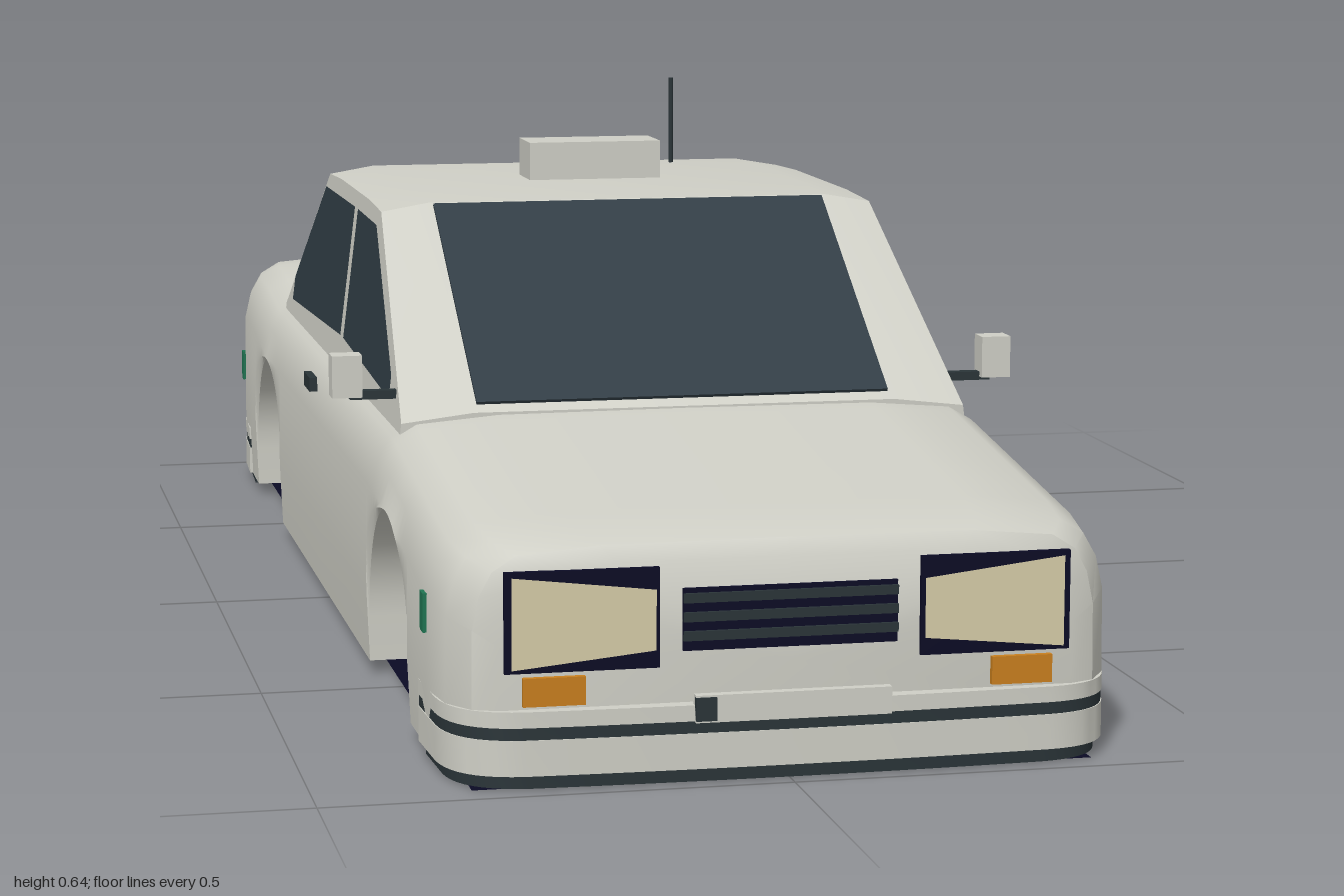
import * as THREE from 'three';
import { toCreasedNormals } from 'three/addons/utils/BufferGeometryUtils.js';

const mat = (name, color, side = THREE.FrontSide) => {
  const m = new THREE.MeshStandardMaterial({ color, side });
  m.name = name;
  return m;
};

// Skin a list of closed cross-sections (front to back) and cap both ends
function loft(sections, crease) {
  const n = sections[0].length, pos = [];
  const tri = (a, b, c) => pos.push(...a, ...b, ...c);
  for (let i = 0; i < sections.length - 1; i++) {
    for (let j = 0; j < n; j++) {
      const k = (j + 1) % n, A = sections[i], B = sections[i + 1];
      tri(A[j], B[j], B[k]);
      tri(A[j], B[k], A[k]);
    }
  }
  [sections[0], sections[sections.length - 1]].forEach((s, e) => {
    const ys = s.map((p) => p[1]);
    const c = [0, (Math.min(...ys) + Math.max(...ys)) / 2, s[0][2]];
    for (let j = 0; j < n; j++) {
      const k = (j + 1) % n;
      if (e === 0) tri(c, s[j], s[k]); else tri(c, s[k], s[j]);
    }
  });
  const g = new THREE.BufferGeometry();
  g.setAttribute('position', new THREE.Float32BufferAttribute(pos, 3));
  return toCreasedNormals(g, crease);
}

// Mirror a half section (x, y), listed from the +x bottom to the top
const mirrored = (half, z) => [
  ...half.map(([x, y]) => [x, y, z]),
  ...half.slice().reverse().map(([x, y]) => [-x, y, z]),
];

// Body outline: z, half width, top height
const OUTLINE = [
  [0.975, 0.308, 0.236], [0.964, 0.335, 0.253], [0.93, 0.357, 0.262], [0.86, 0.366, 0.27],
  [0.49, 0.368, 0.313], [0, 0.368, 0.313], [-0.59, 0.368, 0.313], [-0.77, 0.367, 0.328],
  [-0.88, 0.365, 0.328], [-0.94, 0.356, 0.326], [-0.972, 0.335, 0.32], [-0.985, 0.308, 0.306],
];
const SILL = 0.016;

function outlineAt(z) {
  let i = 0;
  while (i < OUTLINE.length - 2 && z < OUTLINE[i + 1][0]) i++;
  const [z0, w0, t0] = OUTLINE[i], [z1, w1, t1] = OUTLINE[i + 1];
  const f = (z - z0) / (z1 - z0);
  return [w0 + (w1 - w0) * f, t0 + (t1 - t0) * f];
}

function bodyGeometry() {
  const stations = OUTLINE.map(([z]) => [z, SILL]);
  const arches = [0.582, -0.577], r = 0.152;
  let list = stations.filter(([z]) => arches.every((c) => Math.abs(z - c) > r));
  for (const c of arches) {
    const arch = [[c + r, SILL]];
    for (let i = 0; i <= 20; i++) {
      const a = (Math.PI * i) / 20;
      arch.push([c + r * Math.cos(a), 0.07 + r * Math.sin(a)]);
    }
    arch.push([c - r, SILL]);
    const at = list.findIndex(([z]) => z < c);
    list = [...list.slice(0, at), ...arch, ...list.slice(at)];
  }
  return loft(list.map(([z, yb]) => {
    const [w, t] = outlineAt(z);
    const y = Math.max(t - 0.085, yb + 0.003);
    return mirrored([
      [w * 0.99, yb], [w, yb + (y - yb) * 0.4], [w * 0.997, y], [w * 0.975, t - 0.05],
      [w * 0.935, t - 0.025], [w * 0.86, t - 0.009], [w * 0.6, t - 0.001], [0, t],
    ], z);
  }), 0.6);
}

// Cabin side leans inwards with height
const cabinX = (y) => 0.335 - (y - 0.3) * 0.125;

function cabinGeometry() {
  const rows = [[0.49, 0.305], [0.165, 0.513], [0.06, 0.517], [-0.2, 0.517], [-0.31, 0.513], [-0.6, 0.301]];
  return loft(rows.map(([z, t]) => mirrored([
    [cabinX(0.28), 0.28], [cabinX(t), t], [0.25, t + 0.01], [0, t + 0.01],
  ], z)), 0.3);
}

export function createModel() {
  const root = new THREE.Group();
  root.name = 'saloonCar';
  const paint = mat('bodyPaint', 0xcfcfc6);
  const glass = mat('darkGlass', 0x303c44, THREE.DoubleSide);
  const trim = mat('slateTrim', 0x2a3438);
  const navy = mat('navyBlack', 0x0a0a24, THREE.DoubleSide);
  const cream = mat('headlampCream', 0xd6cda8, THREE.DoubleSide);
  const amber = mat('indicatorAmber', 0xc97f1e);
  const red = mat('tailRed', 0x8c0f24);
  const green = mat('markerGreen', 0x1f7552);

  const add = (name, geo, material, parent = root) => {
    const m = new THREE.Mesh(geo, material);
    m.name = name;
    parent.add(m);
    return m;
  };
  // Box given by its x, y and z ranges
  const box = (name, material, x0, x1, y0, y1, z0, z1) => {
    const m = add(name, new THREE.BoxGeometry(Math.abs(x1 - x0), y1 - y0, Math.abs(z1 - z0)), material);
    m.position.set((x0 + x1) / 2, (y0 + y1) / 2, (z0 + z1) / 2);
    return m;
  };

  add('body', bodyGeometry(), paint);
  add('cabin', cabinGeometry(), paint);
  add('floor', new THREE.PlaneGeometry(0.67, 1.93).rotateX(Math.PI / 2), navy);

  // Windscreen and rear window
  const pane = (name, z0, y0, z1, y1, w) => {
    const m = add(name, new THREE.BoxGeometry(w, Math.hypot(z1 - z0, y1 - y0), 0.008), glass);
    m.position.set(0, (y0 + y1) / 2, (z0 + z1) / 2);
    m.rotation.x = Math.atan2(z1 - z0, y1 - y0);
  };
  pane('windscreen', 0.478, 0.3225, 0.17, 0.5195, 0.49);
  pane('rearWindow', -0.585, 0.322, -0.318, 0.517, 0.494);

  // Side windows as (z, y) outlines laid on the leaning cabin side
  const windows = {
    frontSideWindow: [[0.405, 0.321], [0.405, 0.348], [0.165, 0.497], [0, 0.499], [0, 0.335]],
    rearSideWindow: [[-0.027, 0.335], [-0.027, 0.499], [-0.305, 0.497], [-0.51, 0.35], [-0.51, 0.318]],
  };
  for (const s of [1, -1]) {
    for (const [name, pts] of Object.entries(windows)) {
      const g = new THREE.ShapeGeometry(new THREE.Shape(pts.map((p) => new THREE.Vector2(...p))));
      const p = g.attributes.position;
      for (let i = 0; i < p.count; i++) p.setXYZ(i, s * (cabinX(p.getY(i)) + 0.004), p.getY(i), p.getX(i));
      g.computeVertexNormals();
      add(name, g, glass);
    }

    // Door handle, side markers and mirror
    box('doorHandle', trim, s * 0.362, s * 0.372, 0.259, 0.277, -0.108, -0.05);
    box('frontMarker', green, s * 0.361, s * 0.369, 0.145, 0.187, 0.842, 0.862);
    box('rearMarker', green, s * 0.357, s * 0.366, 0.145, 0.187, -0.918, -0.9);
    box('mirrorArm', trim, s * 0.31, s * 0.385, 0.325, 0.335, 0.418, 0.432);
    box('mirror', paint, s * 0.372, s * 0.407, 0.329, 0.378, 0.412, 0.442);

    // Headlamp with tapering lens, front indicator
    box('headlampBezel', navy, s * 0.14, s * 0.303, 0.124, 0.23, 0.973, 0.98);
    const lens = new THREE.Shape([[0.296, 0.225], [0.296, 0.128], [0.144, 0.143], [0.144, 0.207]]
      .map(([x, y]) => new THREE.Vector2(s * x, y)));
    add('headlampLens', new THREE.ShapeGeometry(lens), cream).position.z = 0.983;
    box('frontIndicator', amber, s * 0.218, s * 0.284, 0.089, 0.119, 0.973, 0.982);

    // Tail lamps
    box('tailLampBezel', navy, s * 0.178, s * 0.305, 0.172, 0.285, -0.983, -0.989);
    box('tailLamp', red, s * 0.184, s * 0.299, 0.178, 0.279, -0.986, -0.992);
    box('rearIndicator', amber, s * 0.215, s * 0.28, 0.118, 0.157, -0.983, -0.991);
  }

  // Grille with horizontal bars
  box('grille', navy, -0.115, 0.115, 0.14, 0.206, 0.973, 0.979);
  for (let i = 0; i < 3; i++) {
    box('grilleBar', trim, -0.115, 0.115, 0.151 + i * 0.02, 0.161 + i * 0.02, 0.976, 0.983);
  }

  // Bumpers: stacked bands of one rounded plan shape
  const bumperBand = (y0, y1, inset) => {
    const w = 0.367 - inset, f = 0.992 - inset;
    const s = new THREE.Shape();
    s.moveTo(-w, 0.815);
    s.lineTo(w, 0.815);
    s.lineTo(w - 0.004, 0.9);
    s.quadraticCurveTo(w - 0.01, f - 0.012, w - 0.085, f - 0.006);
    s.quadraticCurveTo(0, f + 0.006, -w + 0.085, f - 0.006);
    s.quadraticCurveTo(-w + 0.01, f - 0.012, -w + 0.004, 0.9);
    const g = new THREE.ExtrudeGeometry(s, { depth: y1 - y0, bevelEnabled: false, curveSegments: 10 });
    return toCreasedNormals(g.rotateX(Math.PI / 2).translate(0, y1, 0), 0.6);
  };
  for (const end of ['front', 'rear']) {
    const bumper = new THREE.Group();
    bumper.name = end + 'Bumper';
    if (end === 'rear') bumper.rotation.y = Math.PI;
    add('bumperLip', bumperBand(0.002, 0.017, 0.008), trim, bumper);
    add('bumperLower', bumperBand(0.017, 0.055, 0), paint, bumper);
    add('bumperStripe', bumperBand(0.055, 0.068, 0.001), trim, bumper);
    add('bumperUpper', bumperBand(0.068, 0.085, 0), paint, bumper);
    root.add(bumper);
  }

  // Blank number plates and tow cover
  box('frontPlate', paint, -0.105, 0.105, 0.067, 0.096, 0.985, 0.996);
  box('frontPlateBand', trim, -0.105, -0.083, 0.069, 0.094, 0.99, 0.998);
  box('rearPlate', paint, -0.11, 0.11, 0.115, 0.155, -0.983, -0.99);
  box('towCover', trim, 0.155, 0.188, 0.02, 0.052, -0.985, -1);

  // Roof sign and aerial
  box('roofSign', paint, -0.086, 0.085, 0.52, 0.575, -0.113, -0.038);
  add('aerial', new THREE.CylinderGeometry(0.003, 0.003, 0.125, 8), trim).position.set(0.148, 0.577, -0.255);

  return root;
}
